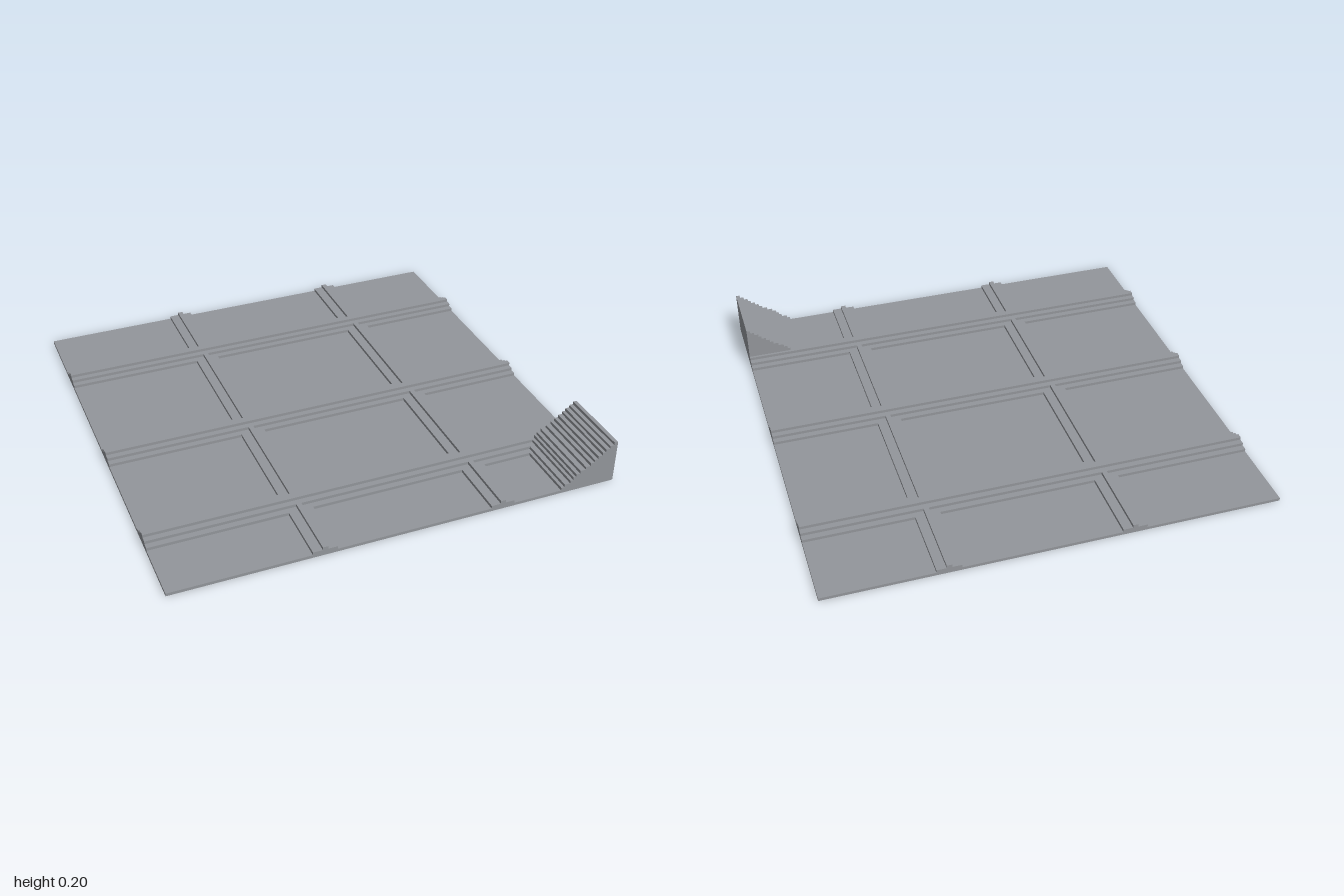
import * as THREE from 'three';

export function createModel() {
  const model = new THREE.Group();
  model.name = 'gridTerrainTile';
  const grey = new THREE.MeshStandardMaterial({ color: 0x93969b });
  grey.name = 'stone grey';

  const STEP = 0.2 / 15; // height of one terrace
  const add = (name, geometry, x = 0, y = 0, z = 0) => {
    const mesh = new THREE.Mesh(geometry, grey);
    mesh.name = name;
    mesh.position.set(x, y, z);
    model.add(mesh);
  };
  const extrude = (points, depth) => new THREE.ExtrudeGeometry(
    new THREE.Shape(points.map(([x, y]) => new THREE.Vector2(x, y))),
    { depth, bevelEnabled: false });

  // Base slab
  add('baseSlab', new THREE.BoxGeometry(2, STEP, 2), 0, STEP / 2, 0);

  // Three-step ridges running the full width
  const ridgeZ = [-0.604, 0.066, 0.665];
  const halfWidths = [0.065, 0.038, 0.012];
  const right = halfWidths.flatMap((w, i) => [[w, i * STEP], [w, (i + 1) * STEP]]);
  const left = right.map(([x, y]) => [-x, y]).reverse();
  for (const z of ridgeZ) {
    const ridge = extrude([...right, ...left], 2);
    ridge.translate(0, 0, -1).rotateY(Math.PI / 2);
    add('crossRidge', ridge, 0, STEP, z);
  }

  // Two-step ribs between the ridges, each level meeting the matching ridge level
  const ribHalf = [0.054, 0.0115];
  for (const x of [-0.336, 0.466]) {
    for (let gap = 0; gap <= ridgeZ.length; gap++) {
      ribHalf.forEach((w, level) => {
        const z0 = gap === 0 ? -1 : ridgeZ[gap - 1] + halfWidths[level];
        const z1 = gap === ridgeZ.length ? 1 : ridgeZ[gap] - halfWidths[level];
        add('lengthRib', new THREE.BoxGeometry(2 * w, STEP, z1 - z0),
          x, STEP * (level + 1.5), (z0 + z1) / 2);
      });
    }
  }

  // Terraced corner ramp climbing to the left edge
  const risers = [0.745, 0.76, 0.786, 0.80, 0.812, 0.83, 0.855, 0.878,
    0.895, 0.912, 0.932, 0.946, 0.965, 0.983];
  const profile = [[1, STEP]];
  risers.forEach((x, i) => profile.unshift([x, (i + 1) * STEP], [x, (i + 2) * STEP]));
  // put the climbing outline in order: up the steps, then down the outer wall
  const outline = risers.flatMap((x, i) => [[x, (i + 1) * STEP], [x, (i + 2) * STEP]]);
  outline.push([1, 15 * STEP], [1, STEP]);
  add('cornerRamp', extrude(outline, 0.335), 0, 0, 0.665);

  return model;
}
